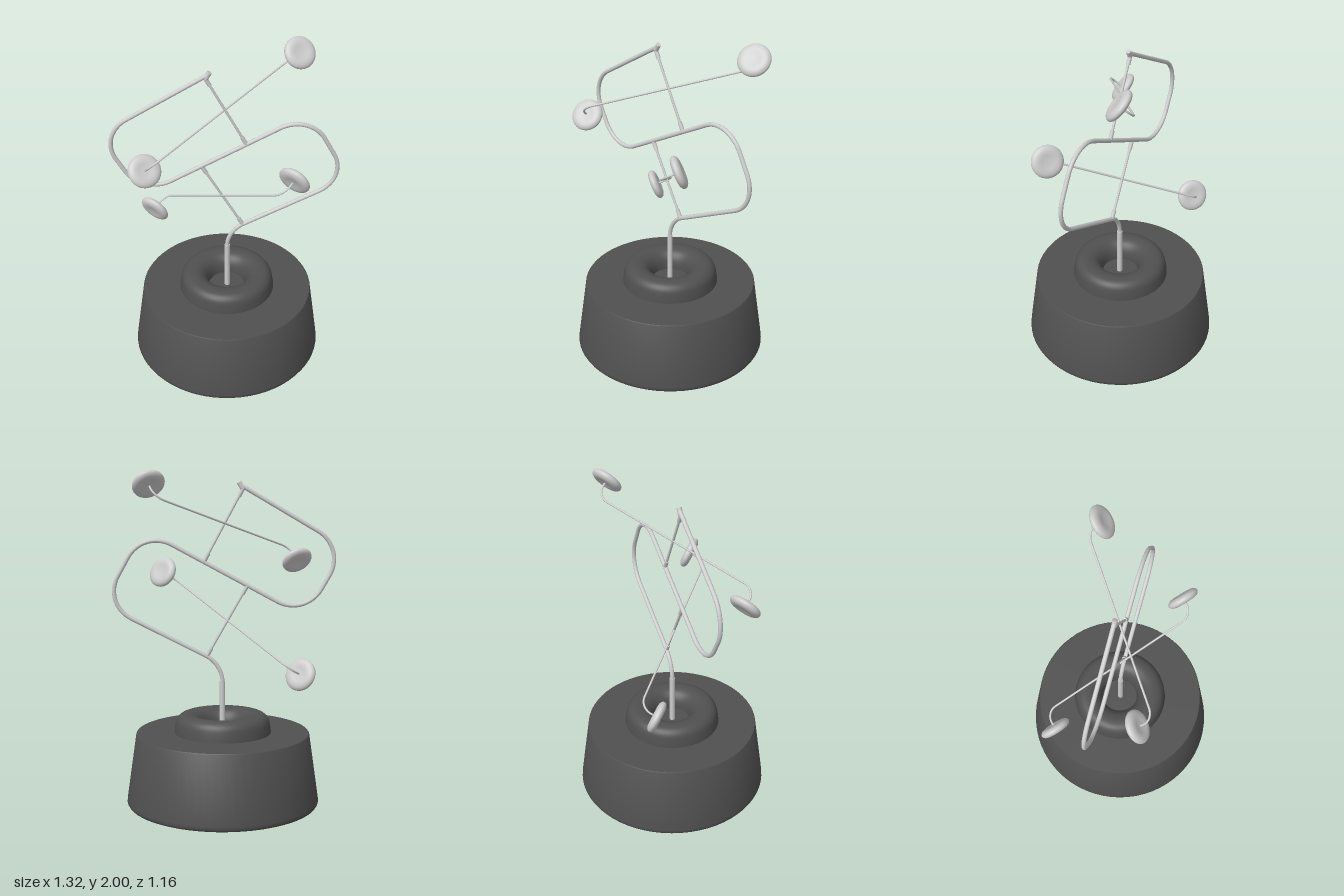
import * as THREE from 'three';
import { toCreasedNormals } from 'three/addons/utils/BufferGeometryUtils.js';

const metal = new THREE.MeshStandardMaterial({ color: 0xcccccc });
const dark = new THREE.MeshStandardMaterial({ color: 0x505050 });
const v = (x, y, z = 0) => new THREE.Vector3(x, y, z);
const UP = v(0, 1, 0);

function add(parent, name, geometry, material = metal) {
  const mesh = new THREE.Mesh(geometry, material);
  mesh.name = name;
  parent.add(mesh);
  return mesh;
}

// Polyline whose corners are rounded; bends[i] is the tangent length at corner i + 1
function roundedPath(points, bends) {
  const path = new THREE.CurvePath();
  let from = points[0];
  bends.forEach((t, i) => {
    const corner = points[i + 1];
    const a = points[i].clone().sub(corner).setLength(t).add(corner);
    const b = points[i + 2].clone().sub(corner).setLength(t).add(corner);
    path.add(new THREE.LineCurve3(from, a));
    path.add(new THREE.CubicBezierCurve3(a, a.clone().lerp(corner, 0.56), b.clone().lerp(corner, 0.56), b));
    from = b;
  });
  path.add(new THREE.LineCurve3(from, points[points.length - 1]));
  return path;
}

// Round bar between two points
function bar(parent, name, a, b, radius) {
  const mesh = add(parent, name, new THREE.CylinderGeometry(radius, radius, a.distanceTo(b), 16));
  mesh.position.copy(a).lerp(b, 0.5);
  mesh.quaternion.setFromUnitVectors(UP, b.clone().sub(a).normalize());
}

function lathe(points, segments) {
  return new THREE.LatheGeometry(points.map(([x, y]) => new THREE.Vector2(x, y)), segments);
}

// Thin axle with a collar at each end
function axle(parent, name, a, b) {
  const group = new THREE.Group();
  group.name = name;
  const length = a.distanceTo(b);
  bar(group, 'axleRod', a, b, 0.0075);
  bar(group, 'axleCollar', a, a.clone().lerp(b, 0.055 / length), 0.012);
  bar(group, 'axleCollar', b, b.clone().lerp(a, 0.055 / length), 0.012);
  parent.add(group);
}

// Lens-shaped weight, slightly dimpled on both faces
function discGeometry() {
  const half = [[0, 0.021], [0.025, 0.022], [0.05, 0.025], [0.068, 0.024], [0.082, 0.019], [0.092, 0.01]];
  const profile = new THREE.SplineCurve([
    ...half.map(([x, y]) => new THREE.Vector2(x, -y)),
    new THREE.Vector2(0.095, 0),
    ...half.slice().reverse().map(([x, y]) => new THREE.Vector2(x, y)),
  ]).getPoints(36);
  profile.forEach(p => { p.x = Math.max(p.x, 0); });
  return new THREE.LatheGeometry(profile, 40);
}

// Wire arm with a weight on each end, point-symmetric about its pivot
function rotor(parent, name, pivot, offset, normal) {
  const group = new THREE.Group();
  group.name = name;
  group.position.copy(pivot);
  normal.normalize();
  const corner = offset.clone().addScaledVector(normal, -0.11);
  const ends = [offset, corner, corner.clone().negate(), offset.clone().negate()];
  add(group, 'wireArm', new THREE.TubeGeometry(roundedPath(ends, [0.075, 0.075]), 120, 0.006, 10));
  const geometry = discGeometry();
  for (const side of [1, -1]) {
    const disc = add(group, 'discWeight', geometry);
    disc.position.copy(offset).multiplyScalar(side);
    disc.quaternion.setFromUnitVectors(UP, normal.clone().multiplyScalar(side));
  }
  parent.add(group);
}

export function createModel() {
  const model = new THREE.Group();
  model.name = 'kineticSculpture';

  // Tapered base with a softly rounded foot
  const base = new THREE.Group();
  base.name = 'base';
  base.position.set(0.005, 0, -0.003);
  model.add(base);
  add(base, 'baseBody', toCreasedNormals(lathe([
    [0, 0], [0.1, 0.001], [0.5, 0.006], [0.558, 0.01], [0.572, 0.016], [0.579, 0.028], [0.578, 0.045],
    [0.521, 0.44], [0.517, 0.446], [0, 0.446],
  ], 64), 0.8), dark);

  // Raised ring with a hollow around the stem
  const ring = new THREE.SplineCurve([
    [0.292, 0.44], [0.287, 0.48], [0.276, 0.525], [0.25, 0.552], [0.215, 0.56],
    [0.18, 0.556], [0.148, 0.54], [0.124, 0.51], [0.112, 0.475], [0.108, 0.44],
  ].map(([x, y]) => new THREE.Vector2(x, y))).getPoints(36);
  add(base, 'baseRing', new THREE.LatheGeometry(ring, 64), dark);

  // Stem and the S-shaped frame
  bar(model, 'stem', v(0.007, 0.43), v(0.007, 0.755), 0.0165);
  const frame = roundedPath([
    v(0.007, 0.74), v(0.007, 0.86), v(0.715, 1.222), v(0.471, 1.662),
    v(-0.487, 1.144), v(-0.721, 1.554), v(-0.1, 1.918),
  ], [0.105, 0.19, 0.19, 0.19, 0.19]);
  add(model, 'frameTube', new THREE.TubeGeometry(frame, 300, 0.0125, 14));
  bar(model, 'frameTip', v(-0.09, 1.934), v(-0.112, 1.896), 0.0145);

  // Axles spanning the two bays of the frame
  axle(model, 'upperAxle', v(-0.115, 1.9), v(0.115, 1.472));
  axle(model, 'lowerAxle', v(-0.14, 1.328), v(0.1, 0.907));

  // Wire rotors balanced on the axles
  rotor(model, 'upperRotor', v(-0.016, 1.693, 0.003), v(0.442, 0.23, -0.235), v(0.31, 0.63, 0.71));
  rotor(model, 'lowerRotor', v(-0.033, 1.117, -0.007), v(0.4, 0.273, 0.266), v(0.57, 0.39, -0.725));

  return model;
}
